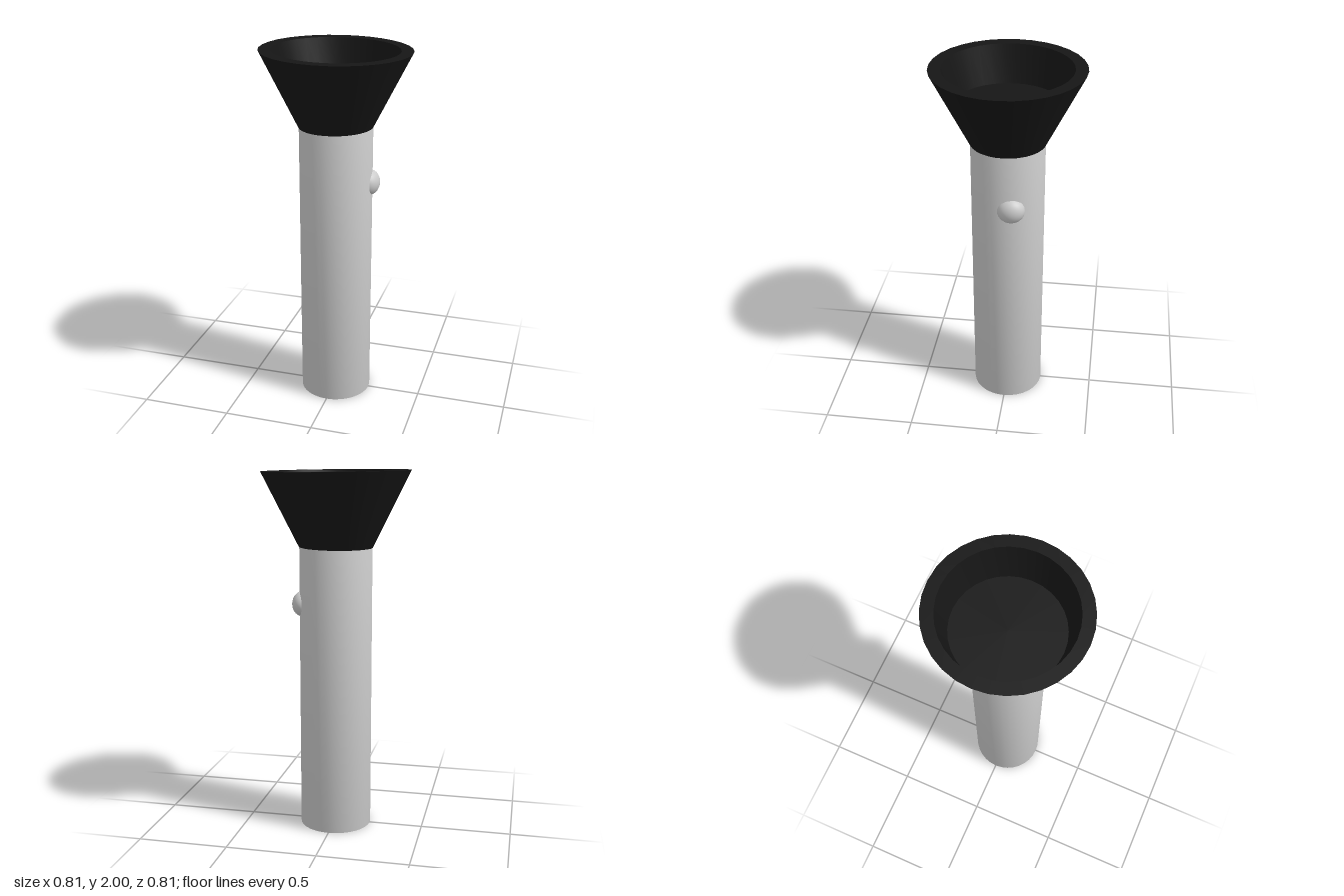
import * as THREE from 'three';
import { toCreasedNormals } from 'three/addons/utils/BufferGeometryUtils.js';

const SIDES = 32;

// Solid of revolution from [radius, height] pairs, listed bottom to top on the outside
function turned(points) {
  return new THREE.LatheGeometry(points.map(([r, y]) => new THREE.Vector2(r, y)), SIDES);
}

function part(name, geometry, material) {
  const mesh = new THREE.Mesh(geometry, material);
  mesh.name = name;
  return mesh;
}

export function createModel() {
  const model = new THREE.Group();
  model.name = 'flashlight';
  const grey = new THREE.MeshStandardMaterial({ color: 0xcccccc });
  const black = new THREE.MeshStandardMaterial({ color: 0x161616 });

  // Handle: closed cylinder that ends at the base of the head
  model.add(part('handle', turned([[0, 0], [0.2, 0], [0.2, 1.588], [0, 1.588]]), grey));

  // Head: flared cone with a flat rim and a deep recess that narrows to its floor
  const head = turned([
    [0, 1.587], [0.203, 1.587], [0.406, 1.995], [0.34, 1.995], [0.29, 1.79], [0, 1.79],
  ]);
  // The rim dips and the base rises very slightly towards +x
  const pos = head.attributes.position;
  for (let i = 0; i < pos.count; i++) {
    const slope = pos.getY(i) > 1.7 ? -0.012 : 0.012;
    pos.setY(i, pos.getY(i) + slope * pos.getX(i));
  }
  model.add(part('head', toCreasedNormals(head, 0.6), black));

  // Switch button: flattened ball set into the side of the handle
  const button = part('switchButton', new THREE.SphereGeometry(1, 32, 16), grey);
  button.scale.set(0.06, 0.071, 0.075);
  button.position.set(0.177, 1.273, -0.037);
  model.add(button);

  return model;
}
